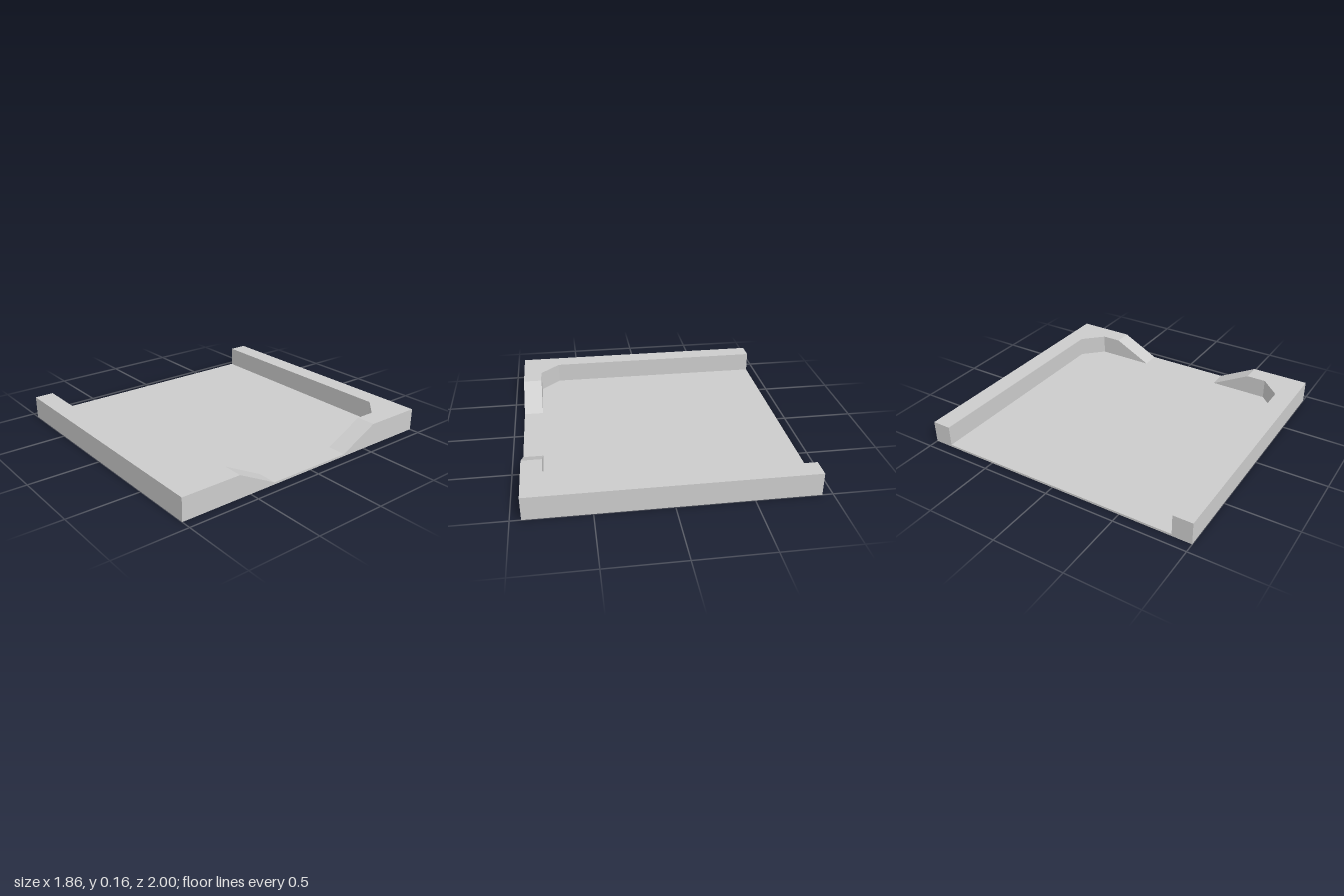
import * as THREE from 'three';

const HALF_X = 0.93, HALF_Z = 1, FLOOR = 0.015, TOP = 0.157;
const INNER_X = 0.795, RAMP_TOP = 0.585, RAMP_FOOT = 0.31;

const material = new THREE.MeshStandardMaterial({ color: 0xcccccc, flatShading: true });

function extrude(points, depth) {
  const shape = new THREE.Shape(points.map(([x, y]) => new THREE.Vector2(x, y)));
  return new THREE.ExtrudeGeometry(shape, { depth, bevelEnabled: false });
}

export function createModel() {
  const group = new THREE.Group();
  const add = (name, geometry) => {
    const mesh = new THREE.Mesh(geometry, material);
    mesh.name = name;
    group.add(mesh);
  };

  // Thin floor slab
  add('floor', new THREE.BoxGeometry(2 * HALF_X, FLOOR, 2 * HALF_Z).translate(0, FLOOR / 2, 0));

  for (const [side, s] of [['front', 1], ['back', -1]]) {
    // Side wall that turns the corner with a chamfered inside, drawn in plan (x, z)
    const plan = [
      [-HALF_X, HALF_Z], [HALF_X, HALF_Z], [HALF_X, RAMP_TOP], [INNER_X, RAMP_TOP],
      [INNER_X, 0.725], [0.655, 0.865], [-HALF_X, 0.865],
    ].map(([x, z]) => [x, s * z]);
    add(side + 'Wall', extrude(plan, TOP - FLOOR).rotateX(Math.PI / 2).translate(0, TOP, 0));

    // Sloped end of the wall, drawn in profile (z, y)
    const slope = [[s * RAMP_TOP, FLOOR], [s * RAMP_TOP, TOP], [s * RAMP_FOOT, FLOOR]];
    add(side + 'WallSlope',
      extrude(slope, HALF_X - INNER_X).rotateY(-Math.PI / 2).translate(HALF_X, 0, 0));
  }
  return group;
}
